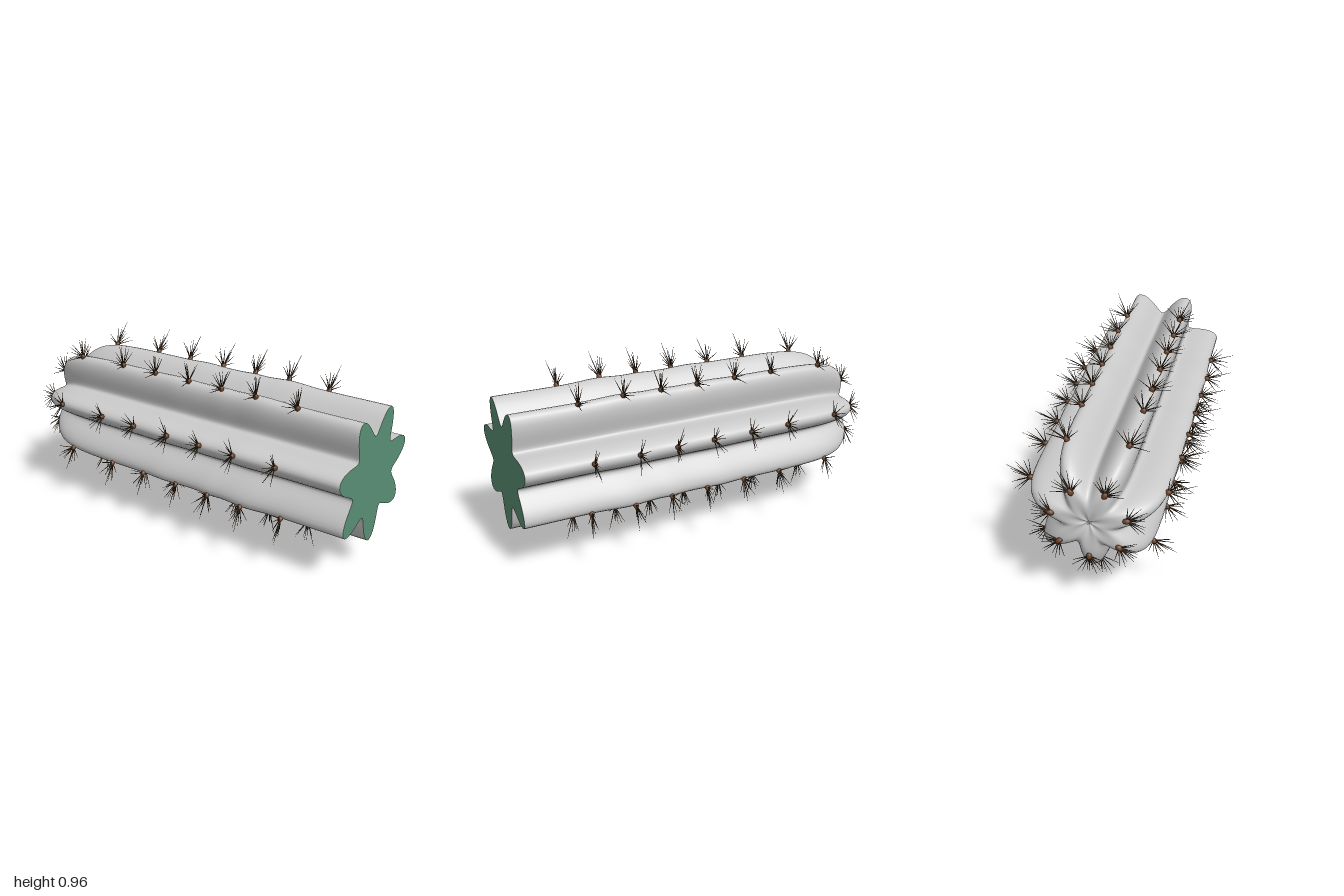
import * as THREE from 'three';
import { mergeGeometries } from 'three/addons/utils/BufferGeometryUtils.js';

const RIBS = 7, CY = 0.52, SEG = RIBS * 20;
const ribAngle = (i) => -Math.PI / 2 + (i * 2 * Math.PI) / RIBS;
// Radius of the ribbed cross-section
const section = (a) => 0.286 + 0.072 * Math.cos(RIBS * (a + Math.PI / 2));
const gauss = (d, w) => Math.exp(-(d * d) / (w * w));
// Gentle taper and swellings along the straight part
const swell = (z) => 0.992 - 0.012 * (1 - z) / 1.45
  + 0.028 * gauss(z - 0.43, 0.12) + 0.012 * gauss(z - 0.2, 0.06) + 0.015 * gauss(z + 0.1, 0.09);

// Rounded end: [scale, z], closing in a shallow dimple
const dome = new THREE.CatmullRomCurve3([
  [0.98, -0.45], [0.972, -0.62], [0.94, -0.77], [0.875, -0.86], [0.765, -0.925],
  [0.62, -0.967], [0.47, -0.985], [0.3, -0.988], [0.14, -0.982], [0.004, -0.97],
].map(([s, z]) => new THREE.Vector3(s, z, 0)));

function rings() {
  const rows = [];
  for (let i = 0; i < 50; i++) {
    const z = 1 - (1.45 * i) / 50;
    rows.push([swell(z), z]);
  }
  for (const p of dome.getSpacedPoints(40)) rows.push([p.x, p.y]);
  return rows;
}

function bodyGeometry() {
  const pos = [], index = [], rows = rings();
  rows.forEach(([s, z], i) => {
    for (let j = 0; j < SEG; j++) {
      const a = (j / SEG) * Math.PI * 2, r = s * section(a);
      pos.push(r * Math.cos(a), r * Math.sin(a), z);
      if (i === rows.length - 1) continue;
      const k = (j + 1) % SEG, p = i * SEG;
      index.push(p + j, p + SEG + j, p + k, p + k, p + SEG + j, p + SEG + k);
    }
  });
  const g = new THREE.BufferGeometry();
  g.setAttribute('position', new THREE.Float32BufferAttribute(pos, 3));
  g.setIndex(index);
  g.computeVertexNormals();
  return g;
}

function seeded(seed) {
  return () => (seed = (seed * 16807) % 2147483647) / 2147483647;
}

const UP = new THREE.Vector3(0, 1, 0);
// Thin tapering needle from the origin along dir
function needle(dir, length, radius) {
  const g = new THREE.CylinderGeometry(0.0006, radius, length, 5, 1).translate(0, length / 2, 0);
  return g.applyQuaternion(new THREE.Quaternion().setFromUnitVectors(UP, dir.clone().normalize()));
}

// Fan of needles in local space: y is outward, x across the rib, z along it
function spineCluster(rand, flat) {
  const parts = [];
  const n = 10;
  for (let i = 0; i < n; i++) {
    const t = (-1 + (2 * i) / (n - 1)) * 1.15 + (rand() - 0.5) * 0.2;
    const lean = flat ? (rand() - 0.6) * 0.15 : (rand() - 0.5) * 0.6;
    const dir = new THREE.Vector3(Math.sin(t), Math.cos(t), lean);
    parts.push(needle(dir, 0.07 + 0.035 * rand() + 0.012 * Math.cos(t), 0.0032));
  }
  // Long central spine
  const lean = flat ? 0.05 : 0.2 + 0.1 * rand();
  parts.push(needle(new THREE.Vector3(0, 1, lean), flat ? 0.09 : 0.142, 0.0035));
  return mergeGeometries(parts);
}

export function createModel() {
  const model = new THREE.Group();
  const trunk = new THREE.Group();
  trunk.name = 'cactus';
  trunk.position.y = CY;
  model.add(trunk);

  const grey = new THREE.MeshStandardMaterial({ color: 0xcccccc });
  const green = new THREE.MeshStandardMaterial({ color: 0x5a9075 });
  const brown = new THREE.MeshStandardMaterial({ color: 0x6b4226 });
  const dark = new THREE.MeshStandardMaterial({ color: 0x46331f });
  const add = (name, geometry, material) => {
    const mesh = new THREE.Mesh(geometry, material);
    mesh.name = name;
    trunk.add(mesh);
  };

  add('ribbedBody', bodyGeometry(), grey);

  // Flat cut end
  const outline = [];
  for (let j = 0; j < SEG; j++) {
    const a = (j / SEG) * Math.PI * 2, r = swell(1) * section(a);
    outline.push(new THREE.Vector2(r * Math.cos(a), r * Math.sin(a)));
  }
  add('cutEnd', new THREE.ShapeGeometry(new THREE.Shape(outline)).translate(0, 0, 1), green);

  // Areoles and spines along each rib crest: [z, scale]
  const stations = [0.65, 0.41, 0.2, -0.01, -0.235, -0.46].map((z) => [z, swell(z)]);
  stations.push([-0.77, 0.94], [-0.985, 0.5]);
  const rand = seeded(4217);
  for (let i = 0; i < RIBS; i++) {
    const areoles = [], spines = [];
    const a = ribAngle(i);
    stations.forEach(([z, s], k) => {
      const r = s * section(a) + 0.004;
      const place = new THREE.Matrix4().makeRotationZ(a - Math.PI / 2)
        .setPosition(r * Math.cos(a), r * Math.sin(a), z);
      const bud = new THREE.SphereGeometry(0.014, 10, 8).scale(1, 1.35, 1);
      areoles.push(bud.applyMatrix4(place));
      spines.push(spineCluster(rand, k === stations.length - 1).applyMatrix4(place));
    });
    add('areoles', mergeGeometries(areoles), brown);
    add('spines', mergeGeometries(spines), dark);
  }
  return model;
}
